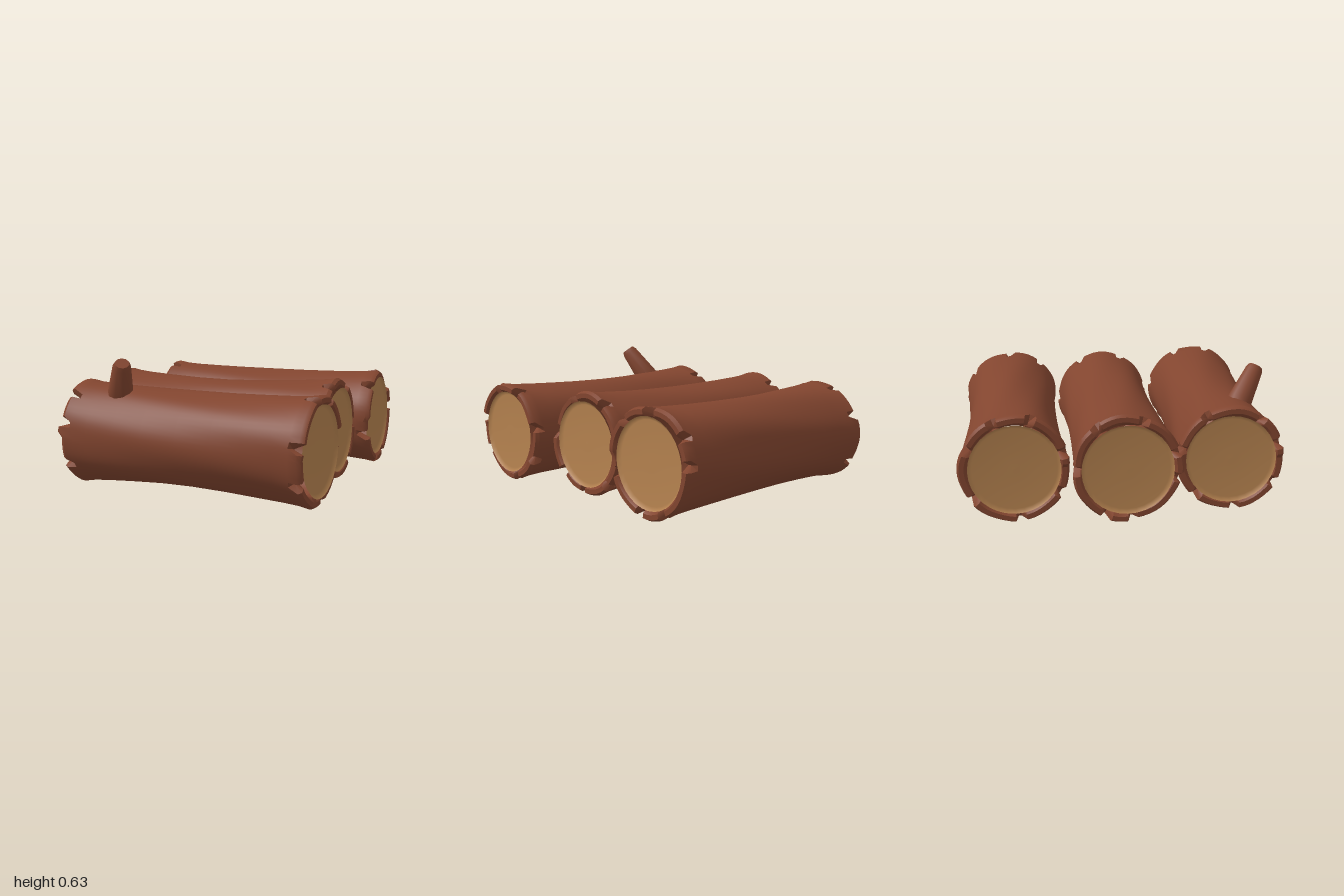
import * as THREE from 'three';
import { toCreasedNormals } from 'three/addons/utils/BufferGeometryUtils.js';

const SEGMENTS = 60;
const LENGTH = 1.255;

// Half profile of the bark: [distance from the log end, radius], lip first
const LIP = [[0.06, 0.198], [0.02, 0.203], [0, 0.218], [0, 0.24], [0.02, 0.25], [0.07, 0.242]];
const TRUNK = [[0.16, 0.236], [0.3, 0.23], [0.45, 0.225]];
const HALF = [...LIP, ...TRUNK];

function seeded(seed) {
  let s = seed;
  return () => (s = (s * 16807) % 2147483647) / 2147483647;
}

// Splits one log end into bark flaps: cracks between them, and how far each is set back
function makeFlaps(rand) {
  const cracks = [];
  const start = rand() * 8;
  for (let k = 0; k < 7; k++) {
    cracks.push(Math.floor(start + (k + 0.5 * rand()) * SEGMENTS / 7) % SEGMENTS);
  }
  const setback = [];
  let current = 0.01;
  for (let i = 0; i < SEGMENTS * 2; i++) {
    if (cracks.includes(i % SEGMENTS)) current = rand() * 0.03;
    setback[i % SEGMENTS] = current;
  }
  return { cracks, setback };
}

// Hollow bark along y, with flared, cracked and rolled-in ends
function barkGeometry(seed) {
  const rand = seeded(seed);
  const ends = [makeFlaps(rand), makeFlaps(rand)];
  const phase = rand() * 6;
  const rings = [
    ...HALF.map(([s, r]) => ({ s, r, end: 0 })),
    { s: LENGTH / 2, r: 0.223, end: 0 },
    ...HALF.map(([s, r]) => ({ s, r, end: 1 })).reverse(),
  ];
  const positions = [];
  const index = [];
  rings.forEach(({ s, r, end }, j) => {
    const { cracks, setback } = ends[end];
    for (let i = 0; i < SEGMENTS; i++) {
      const angle = (i / SEGMENTS) * Math.PI * 2;
      let d = s + setback[i] * Math.max(0, 1 - s / 0.16);
      let radius = r;
      if (cracks.includes(i) && s < 0.07) {
        d = 0.065;
        radius = Math.min(r, 0.212);
      }
      const y = end ? LENGTH / 2 - d : d - LENGTH / 2;
      // gentle lumps in the bark
      if (r > 0.215) {
        radius += 0.003 * Math.sin(3 * angle + phase + 4 * y) + 0.002 * Math.sin(7 * angle - 6 * y + phase);
      }
      positions.push(radius * Math.sin(angle), y, radius * Math.cos(angle));
      if (j < rings.length - 1) {
        const a = j * SEGMENTS + i;
        const b = j * SEGMENTS + (i + 1) % SEGMENTS;
        index.push(a, b, b + SEGMENTS, a, b + SEGMENTS, a + SEGMENTS);
      }
    }
  });
  const geometry = new THREE.BufferGeometry();
  geometry.setAttribute('position', new THREE.Float32BufferAttribute(positions, 3));
  geometry.setIndex(index);
  return toCreasedNormals(geometry, 0.7);
}

// Slightly dished sawn face
function cutGeometry() {
  const top = LENGTH / 2;
  const points = [[0.208, top - 0.016], [0.19, top - 0.032], [0, top - 0.03]];
  return new THREE.LatheGeometry(points.map(([x, y]) => new THREE.Vector2(x, y)), 32);
}

export function createModel() {
  const bark = new THREE.MeshStandardMaterial({ color: 0x82452f });
  bark.name = 'bark';
  bark.side = THREE.DoubleSide;
  const wood = new THREE.MeshStandardMaterial({ color: 0xb5824f });
  wood.name = 'cutWood';

  const model = new THREE.Group();
  model.name = 'logs';
  const add = (parent, name, geometry, material) => {
    const mesh = new THREE.Mesh(geometry, material);
    mesh.name = name;
    parent.add(mesh);
    return mesh;
  };

  // Three logs side by side: centre x, centre z, heading in degrees
  const logs = [
    ['backLog', 0.303, -0.413, 38.2, 11],
    ['middleLog', -0.057, -0.053, 38.8, 457],
    ['frontLog', -0.31, 0.397, 41.2, 9013],
  ];
  const cut = cutGeometry();
  for (const [name, x, z, heading, seed] of logs) {
    const log = new THREE.Group();
    log.name = name;
    add(log, 'barkSleeve', barkGeometry(seed * 7919), bark);
    add(log, 'cutFace', cut, wood);
    add(log, 'cutFaceFar', cut, wood).rotation.x = Math.PI;
    log.position.set(x, 0.256, z);
    log.rotation.set(0, -THREE.MathUtils.degToRad(heading), -Math.PI / 2);
    model.add(log);
  }

  // Broken branch stub on the front log
  const base = new THREE.Vector3(-0.638, 0.39, 0.16);
  const tip = new THREE.Vector3(-0.645, 0.612, 0.325);
  const length = base.distanceTo(tip);
  const profile = [[0.07, 0], [0.06, 0.1], [0.043, length - 0.02], [0.034, length], [0, length]];
  const stubGeometry = new THREE.LatheGeometry(profile.map(([x, y]) => new THREE.Vector2(x, y)), 10);
  const stub = add(model, 'branchStub', toCreasedNormals(stubGeometry, 0.7), bark);
  stub.position.copy(base);
  stub.quaternion.setFromUnitVectors(new THREE.Vector3(0, 1, 0), tip.clone().sub(base).normalize());

  return model;
}
